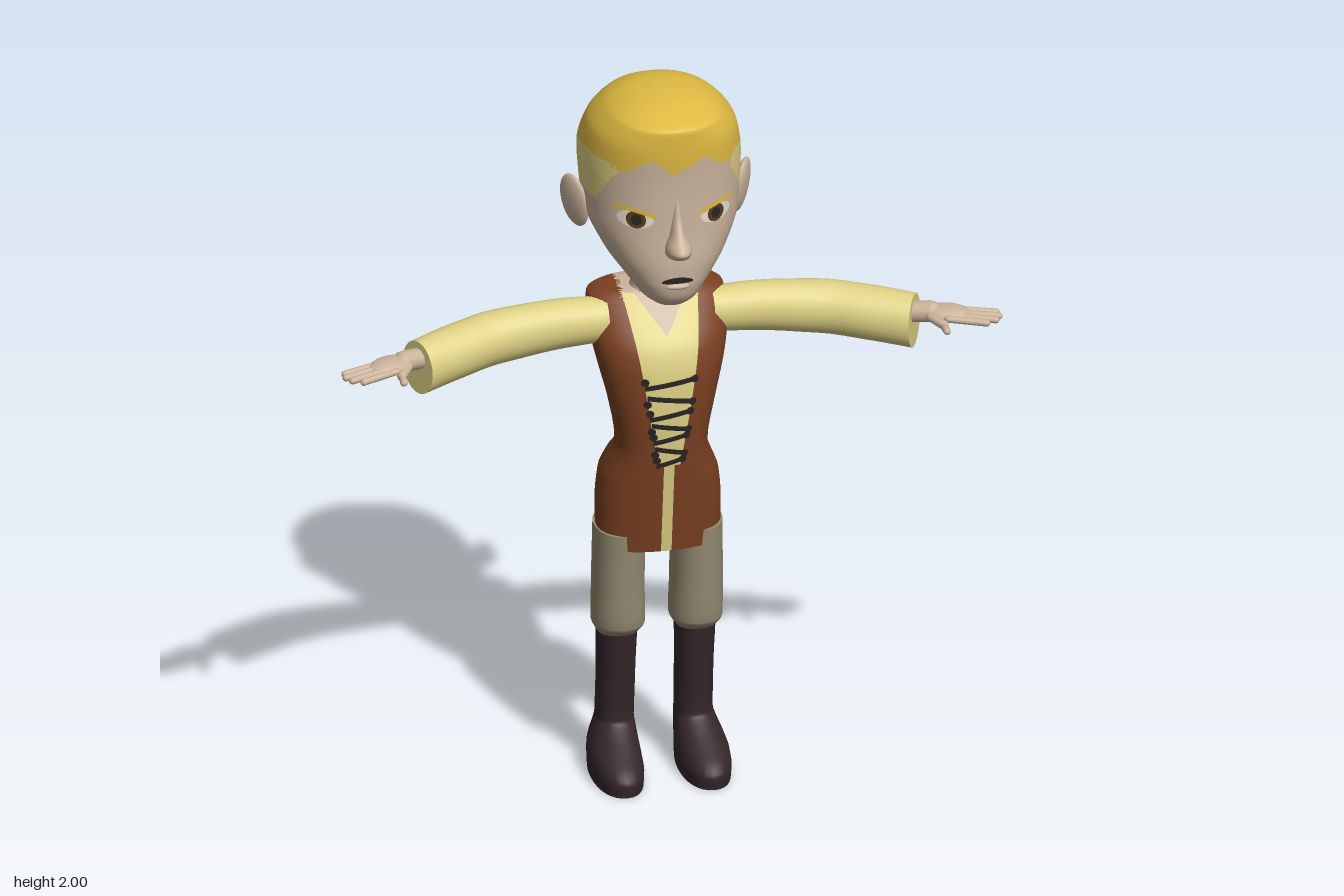
import * as THREE from 'three';

const mat = (name, color) => Object.assign(new THREE.MeshStandardMaterial({ color }), { name });
const M = {
  skin: mat('skin', 0xcbb49c), hair: mat('golden hair', 0xdfba42), pale: mat('pale yellow', 0xded084),
  tunic: mat('brown leather', 0x7a4021), trousers: mat('grey olive', 0x958b72), boots: mat('dark boot', 0x35272b),
  dark: mat('lace black', 0x2a2424), white: mat('eye white', 0xe6ddd0), iris: mat('eye brown', 0x5a3a20),
};

// Sections are [y, centreX, halfWidth, frontZ, backZ], blended by a monotone curve.
function sample(S, y) {
  let i = 0;
  while (i < S.length - 2 && y > S[i + 1][0]) i++;
  const h = S[i + 1][0] - S[i][0], t = (y - S[i][0]) / h;
  const slope = (j, k) => (S[j + 1][k] - S[j][k]) / (S[j + 1][0] - S[j][0]);
  const tangent = (j, k) => {
    if (j === 0) return slope(0, k);
    if (j === S.length - 1) return slope(j - 1, k);
    const a = slope(j - 1, k), b = slope(j, k);
    return a * b > 0 ? 2 * a * b / (a + b) : 0;
  };
  return [1, 2, 3, 4].map(k => {
    const a = S[i][k], b = S[i + 1][k], m = tangent(i, k) * h, n = tangent(i + 1, k) * h;
    return a + t * (m + t * (3 * (b - a) - 2 * m - n + t * (2 * (a - b) + m + n)));
  });
}

// Closed loft through the sections; pick(x, y, z) gives a material slot for each face.
function loft(S, { p = 2, seg = 32, sub = 4, pick } = {}) {
  const pos = [], tris = [], ys = [];
  S.forEach((s, i) => {
    if (i) for (let k = 1; k <= sub; k++) ys.push(S[i - 1][0] + (s[0] - S[i - 1][0]) * k / sub);
    else ys.push(s[0]);
  });
  const ring = y => {
    const [cx, rx, f, b] = sample(S, y);
    for (let j = 0; j < seg; j++) {
      const a = j / seg * Math.PI * 2, c = Math.cos(a), s = Math.sin(a);
      pos.push(cx + rx * Math.sign(c) * Math.abs(c) ** (2 / p), y,
        (f + b) / 2 + (f - b) / 2 * Math.sign(s) * Math.abs(s) ** (2 / p));
    }
    return [cx, y, (f + b) / 2];
  };
  ys.forEach(ring);
  for (let i = 0; i < ys.length - 1; i++) for (let j = 0; j < seg; j++) {
    const a = i * seg + j, b = i * seg + (j + 1) % seg;
    tris.push([a, a + seg, b], [b, a + seg, b + seg]);
  }
  for (const top of [false, true]) {
    const start = pos.length / 3;
    pos.push(...ring(top ? ys[ys.length - 1] : ys[0]));
    for (let j = 0; j < seg; j++) {
      const a = start + j, b = start + (j + 1) % seg;
      tris.push(top ? [start + seg, b, a] : [start + seg, a, b]);
    }
  }
  const g = new THREE.BufferGeometry();
  g.setAttribute('position', new THREE.Float32BufferAttribute(pos, 3));
  if (pick) {
    const mid = (t, k) => (pos[t[0] * 3 + k] + pos[t[1] * 3 + k] + pos[t[2] * 3 + k]) / 3;
    const sets = [[], [], []];
    tris.forEach(t => sets[pick(mid(t, 0), mid(t, 1), mid(t, 2))].push(...t));
    let start = 0;
    sets.forEach((s, i) => { g.addGroup(start, s.length, i); start += s.length; });
    g.setIndex(sets.flat());
  } else g.setIndex(tris.flat());
  g.computeVertexNormals();
  return g;
}

// Lays a flat geometry on the front of a loft after moving it by fn(x, y) -> [x, y].
function drape(geo, S, p, fn, lift = 0.004) {
  const a = geo.attributes.position;
  for (let i = 0; i < a.count; i++) {
    const [x, y] = fn(a.getX(i), a.getY(i)), [cx, rx, f, b] = sample(S, y);
    const r = Math.min(1, Math.abs((x - cx) / rx));
    a.setXYZ(i, x, y, (f + b) / 2 + (f - b) / 2 * (1 - r ** p) ** (1 / p) + lift);
  }
  geo.computeVertexNormals();
  return geo;
}

function mirrored(geo) {
  const g = geo.clone().scale(-1, 1, 1), a = g.index.array;
  for (let i = 0; i < a.length; i += 3) [a[i + 1], a[i + 2]] = [a[i + 2], a[i + 1]];
  return g;
}

function limb(a, b, r) {
  const A = new THREE.Vector3(...a), B = new THREE.Vector3(...b), d = B.clone().sub(A);
  const q = new THREE.Quaternion().setFromUnitVectors(new THREE.Vector3(0, 1, 0), d.clone().normalize());
  const m = A.add(B).multiplyScalar(0.5);
  return new THREE.CapsuleGeometry(r, d.length(), 4, 10).applyQuaternion(q).translate(m.x, m.y, m.z);
}

export function createModel() {
  const model = new THREE.Group();
  model.name = 'figure';
  const add = (name, geo, material) => {
    const m = new THREE.Mesh(geo, material);
    m.name = name;
    model.add(m);
  };
  const pair = (name, geo, material) => {
    add('left' + name, geo, material);
    add('right' + name, mirrored(geo), material);
  };
  const { lerp, clamp } = THREE.MathUtils;

  // Head with cap of hair and cropped sides
  const head = [[1.43, 0, 0.05, 0.15, 0], [1.45, 0, 0.075, 0.175, -0.04], [1.475, 0, 0.095, 0.19, -0.09],
    [1.51, 0, 0.122, 0.198, -0.14], [1.565, 0, 0.16, 0.2, -0.185], [1.66, 0, 0.2, 0.195, -0.24],
    [1.74, 0, 0.207, 0.195, -0.262], [1.8, 0, 0.21, 0.197, -0.27], [1.89, 0, 0.195, 0.204, -0.222],
    [1.95, 0, 0.155, 0.205, -0.175], [1.98, 0, 0.11, 0.14, -0.12], [1.993, 0, 0.07, 0.09, -0.08], [2, 0, 0.02, 0.03, -0.03]];
  const headP = 2.25;
  add('head', loft(head, { p: headP, seg: 80, sub: 6, pick: (x, y, z) => {
    const line = z > 0.1 ? 1.85 - 0.018 * Math.cos(x * 45) : lerp(1.81, 1.845, clamp((z + 0.27) / 0.3, 0, 1));
    if (y > line) return 1;
    const crop = z > 0.15 ? 9 : z > 0.08 ? 1.73 + (z - 0.08) * 1.5 : z > -0.05 ? 1.72 : 1.59;
    return y > crop ? 2 : 0;
  } }), [M.skin, M.hair, M.pale]);
  add('nose', loft([[1.59, 0, 0.015, 0.215, 0.15], [1.605, 0, 0.034, 0.25, 0.15], [1.625, 0, 0.033, 0.268, 0.15],
    [1.66, 0, 0.02, 0.235, 0.15], [1.7, 0, 0.015, 0.21, 0.15], [1.75, 0, 0.01, 0.196, 0.15]], { seg: 20 }), M.skin);
  pair('Ear', new THREE.SphereGeometry(1, 20, 14).scale(0.017, 0.078, 0.052)
    .rotateZ(-0.15).rotateY(-0.5).translate(0.222, 1.665, -0.045), M.skin);

  // Face details
  const disc = (cx, cy, rx, ry, lift) => drape(new THREE.RingGeometry(0.01, 1, 24, 4), head, headP,
    (x, y) => [cx + x * rx, cy + y * ry], lift);
  pair('EyeWhite', disc(0.106, 1.7, 0.044, 0.026, 0.004), M.white);
  pair('Iris', disc(0.106, 1.7, 0.024, 0.025, 0.006), M.iris);
  pair('Pupil', disc(0.106, 1.7, 0.013, 0.015, 0.008), M.dark);
  pair('Brow', drape(new THREE.PlaneGeometry(1, 1, 12, 1), head, headP,
    (x, y) => [0.108 + x * 0.1, 1.727 + x * 0.02 - x * x * 0.03 + y * 0.012], 0.008), M.hair);
  add('mouth', drape(new THREE.RingGeometry(0.01, 1, 24, 4), head, headP,
    (x, y) => [x * 0.042, 1.525 + y * 0.009 - x * x * 0.005]), M.dark);
  add('lowerLip', new THREE.SphereGeometry(1, 16, 10).scale(0.032, 0.009, 0.012).translate(0, 1.507, 0.198), M.skin);
  add('neck', loft([[1.36, 0, 0.1, 0.005, -0.15], [1.405, 0, 0.07, 0, -0.118], [1.48, 0, 0.066, 0.02, -0.1]]), M.skin);

  // Tunic body with bare collar
  const torso = [[0.675, 0, 0.163, 0.055, -0.145], [0.78, 0, 0.164, 0.07, -0.168], [0.87, 0, 0.156, 0.083, -0.172],
    [0.92, 0, 0.138, 0.09, -0.155], [0.975, 0, 0.12, 0.096, -0.112], [1.1, 0, 0.14, 0.104, -0.115],
    [1.19, 0, 0.162, 0.102, -0.14], [1.26, 0, 0.177, 0.088, -0.165], [1.33, 0, 0.185, 0.04, -0.176],
    [1.375, 0, 0.18, 0, -0.17], [1.39, 0, 0.155, -0.015, -0.16], [1.398, 0, 0.09, -0.02, -0.14]];
  const torsoP = 2.4;
  add('tunic', loft(torso, { p: torsoP, seg: 72, sub: 4,
    pick: (x, y, z) => y > 1.375 && Math.abs(x) < 0.1 ? 1 : 0 }), [M.tunic, M.skin]);

  // Shirt panel, bare neckline and skirt slit on the chest
  const strip = (y0, y1, half, lift) => drape(new THREE.PlaneGeometry(1, 1, 12, 24), torso, torsoP, (u, v) => {
    const y = lerp(y0, y1, v + 0.5);
    return [u * 2 * half(y), y];
  }, lift);
  add('shirtPanel', strip(0.94, 1.392, y => y < 1.2 ? lerp(0.03, 0.07, (y - 0.94) / 0.26) : lerp(0.07, 0.1, (y - 1.2) / 0.19), 0.003), M.pale);
  add('neckline', strip(1.3, 1.394, y => (y - 1.3) * 0.75, 0.006), M.skin);
  add('skirtSlit', strip(0.677, 0.945, () => 0.014, 0.003), M.pale);

  // Zigzag lacing, narrowing toward the waist
  [0.95, 0.985, 1.02, 1.055, 1.09, 1.135, 1.18].forEach((y0, i) => {
    const half = lerp(0.034, 0.066, (y0 - 0.95) / 0.23), tilt = (i % 2 ? -1 : 1) * 0.018;
    add('lace', drape(new THREE.PlaneGeometry(1, 1, 12, 1), torso, torsoP,
      (u, v) => [u * 2 * half, y0 + u * tilt + v * 0.014], 0.007), M.dark);
    pair('Eyelet', drape(new THREE.RingGeometry(0.01, 1, 10, 1), torso, torsoP,
      (x, y) => [half + x * 0.011, y0 + tilt / 2 + y * 0.011], 0.008), M.dark);
  });

  // Sleeves, lofted along y and laid along x, bent forward with a slanted cuff
  const sleeve = loft([[0.14, -1.315, 0.06, 0.015, -0.1], [0.25, -1.312, 0.066, 0.016, -0.105],
    [0.42, -1.297, 0.072, 0.03, -0.1], [0.54, -1.285, 0.073, 0.07, -0.062], [0.66, -1.273, 0.074, 0.11, 0]],
  { seg: 28 }).rotateZ(-Math.PI / 2);
  const sp = sleeve.attributes.position;
  for (let i = 0; i < sp.count; i++) {
    const t = clamp((sp.getX(i) - 0.3) / 0.36, 0, 1);
    sp.setX(i, sp.getX(i) - t * 0.5 * (sp.getZ(i) - lerp(-0.04, 0.055, t)));
  }
  sleeve.computeVertexNormals();
  pair('Sleeve', sleeve, M.pale);

  // Hands
  pair('Wrist', limb([0.62, 1.295, 0.04], [0.7, 1.304, 0.074], 0.029), M.skin);
  pair('Palm', new THREE.SphereGeometry(1, 20, 12).scale(0.064, 0.019, 0.044).rotateY(-0.42).translate(0.74, 1.305, 0.092), M.skin);
  [[0.866, 0.112], [0.868, 0.135], [0.855, 0.156], [0.828, 0.17]].forEach(([x, z], i) =>
    pair('Finger', limb([0.772 - i * 0.013, 1.306, 0.083 + i * 0.017], [x, 1.302, z], 0.0095), M.skin));
  pair('Thumb', limb([0.695, 1.3, 0.1], [0.72, 1.293, 0.138], 0.013), M.skin);
  pair('ThumbTip', limb([0.72, 1.293, 0.138], [0.722, 1.29, 0.172], 0.01), M.skin);

  // Trouser legs and boots
  pair('TrouserLeg', loft([[0.405, 0.104, 0.052, -0.01, -0.13], [0.44, 0.103, 0.07, 0.022, -0.146],
    [0.55, 0.104, 0.068, 0.032, -0.145], [0.72, 0.102, 0.067, 0.045, -0.145]], { p: 2.2 }), M.trousers);
  pair('Boot', loft([[0, 0.116, 0.066, 0.115, -0.18], [0.035, 0.116, 0.068, 0.12, -0.184], [0.06, 0.116, 0.067, 0.1, -0.184],
    [0.09, 0.113, 0.062, 0.05, -0.18], [0.12, 0.108, 0.055, 0, -0.172], [0.15, 0.105, 0.05, -0.034, -0.162],
    [0.28, 0.104, 0.05, -0.02, -0.152], [0.415, 0.104, 0.053, -0.002, -0.146]], { p: 2.2 }), M.boots);

  return model;
}
